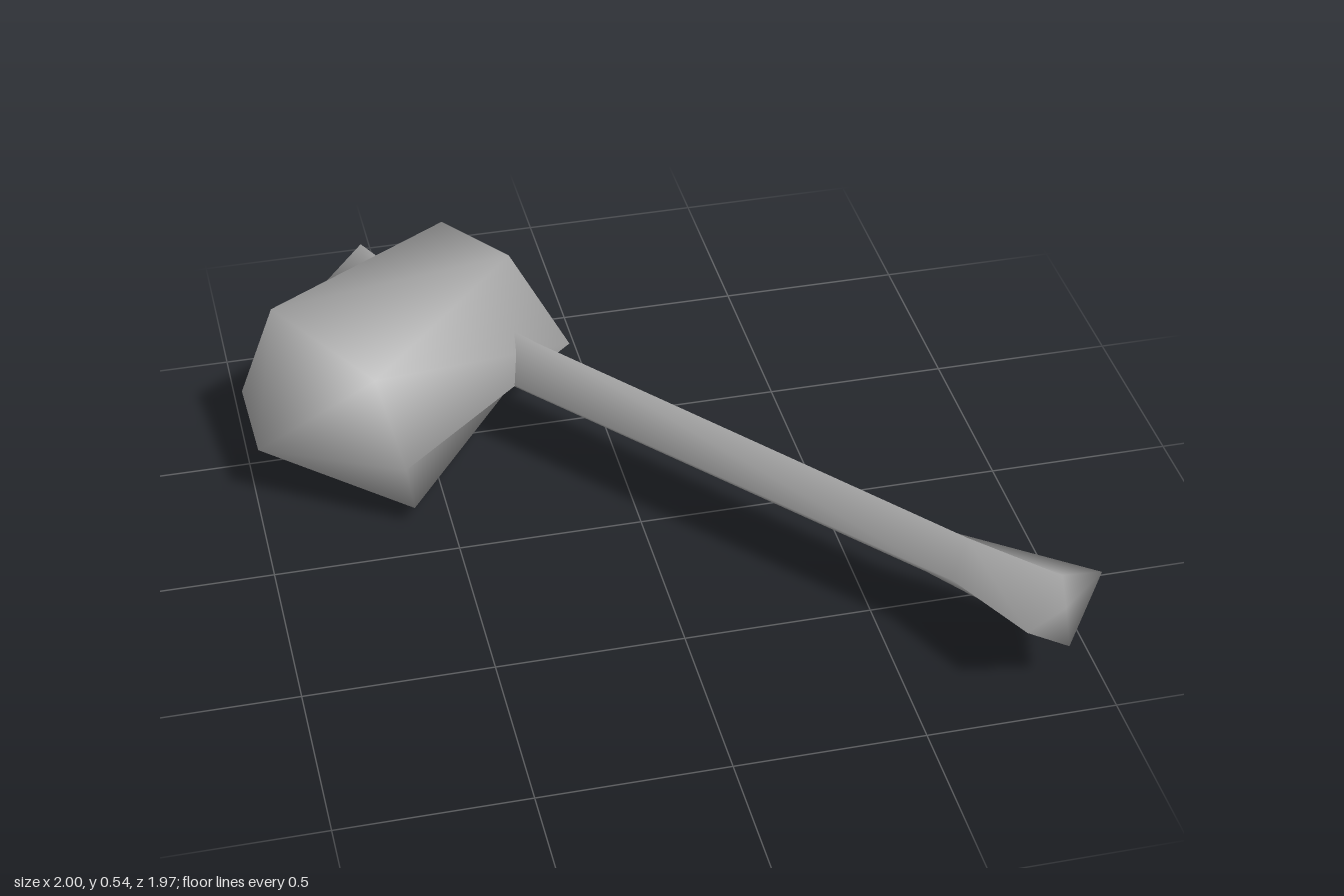
import * as THREE from 'three';

// Smooth closed loft through matching rings, with a centre point on each end
function loft(rings, startTip, endTip) {
  const n = rings[0].length, last = (rings.length - 1) * n;
  const pts = [...rings.flat(), startTip, endTip];
  const s = pts.length - 2, e = pts.length - 1, idx = [];
  for (let r = 0; r < rings.length - 1; r++) {
    for (let i = 0; i < n; i++) {
      const a = r * n + i, b = r * n + (i + 1) % n;
      idx.push(a, b, b + n, a, b + n, a + n);
    }
  }
  for (let i = 0; i < n; i++) {
    const j = (i + 1) % n;
    idx.push(s, j, i, e, last + i, last + j);
  }
  const g = new THREE.BufferGeometry();
  g.setAttribute('position', new THREE.Float32BufferAttribute(pts.flat(), 3));
  g.setIndex(idx);
  g.computeVertexNormals();
  return g;
}

// Diamond section of the handle, t units along its axis from the head
function diamond(t, half, top, bottom) {
  const x = -0.2 + 0.644 * t, z = -0.38 + 0.765 * t, mid = (top + bottom) / 2;
  const dx = 0.765 * half, dz = -0.644 * half;
  return [[x + dx, mid, z + dz], [x, top, z], [x - dx, mid, z - dz], [x, bottom, z]];
}

export function createModel() {
  const group = new THREE.Group();
  const grey = new THREE.MeshStandardMaterial({ color: 0xa3a3a3 });
  grey.name = 'grey';
  const add = (name, geometry) => {
    const mesh = new THREE.Mesh(geometry, grey);
    mesh.name = name;
    group.add(mesh);
  };

  // Six-sided head: wide bulging face to a narrower flat face
  add('head', loft([
    [[-1, 0.22, -0.54], [-0.91, 0.54, -0.45], [-0.68, 0.48, -0.15],
      [-0.63, 0.27, -0.02], [-0.6, 0.07, -0.11], [-0.8, 0, -0.45]],
    [[-0.365, 0.33, -0.985], [-0.38, 0.5, -0.83], [-0.23, 0.5, -0.62],
      [-0.09, 0.27, -0.49], [-0.22, 0.05, -0.65], [-0.41, 0.05, -0.83]],
  ], [-0.99, 0.2, -0.29], [-0.26, 0.29, -0.74]));

  // Four-sided handle: stub behind the head, shaft, flared grip end
  add('handle', loft([
    [[-0.51, 0.31, -0.89], [-0.6, 0.4, -0.92], [-0.71, 0.3, -0.9], [-0.63, 0.2, -0.97]],
    diamond(-0.5, 0.095, 0.4, 0.18),
    diamond(0, 0.092, 0.363, 0.18),
    [[0.67, 0.27, 0.54], [0.69, 0.34, 0.67], [0.635, 0.26, 0.73], [0.61, 0.19, 0.6]],
    [[0.995, 0.3, 0.83], [0.86, 0.37, 0.9], [0.75, 0.27, 0.98], [0.89, 0.15, 0.92]],
  ], [-0.62, 0.3, -0.93], [0.875, 0.27, 0.91]));

  return group;
}
